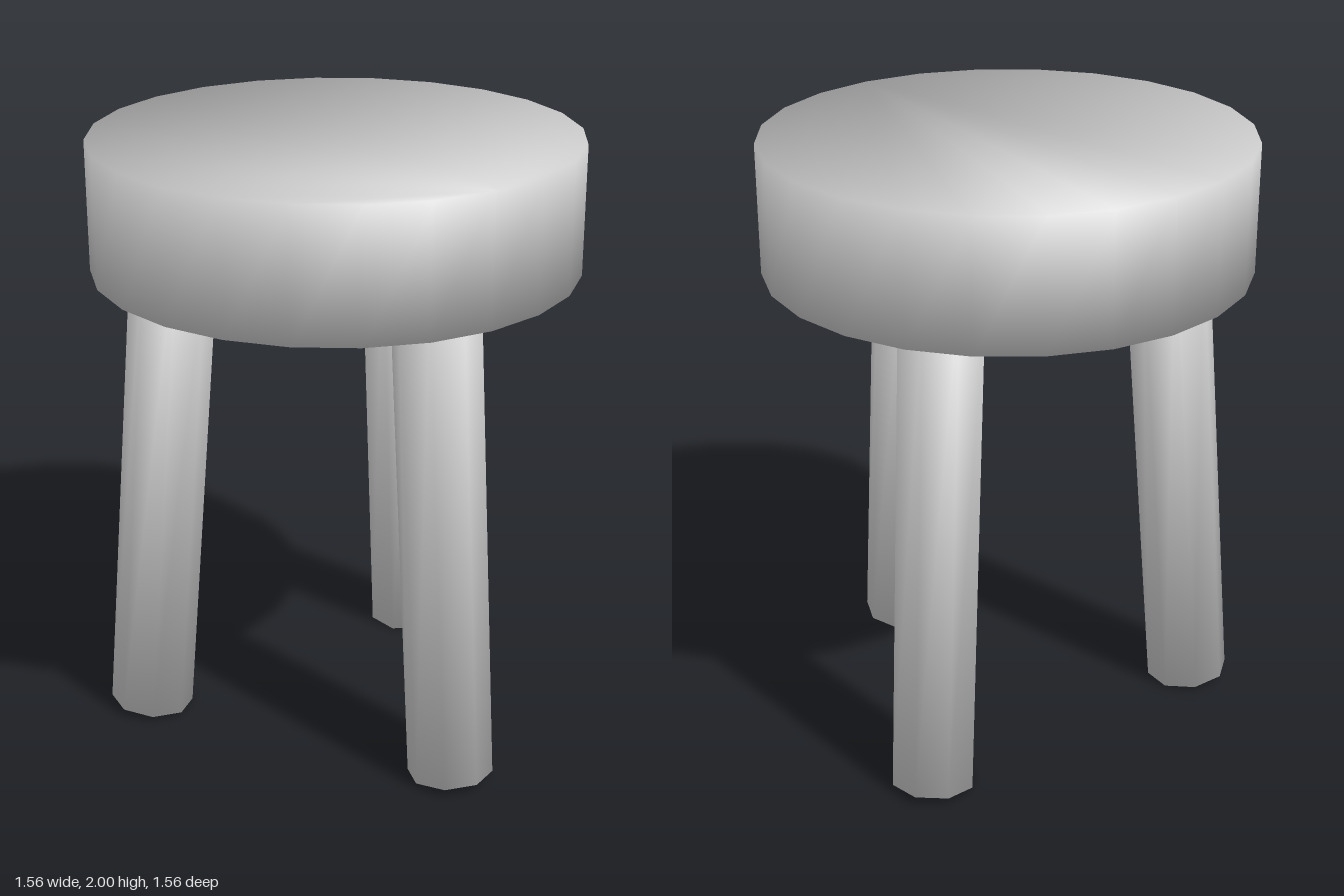
import * as THREE from 'three';

// Closed prism standing on y = 0, whose smooth normals run on over the rims into the caps.
function softPrism(radius, height, sides) {
  const positions = [], normals = [], index = [];
  // rim normals weighted by the corner angles of the sides and the cap
  const n = new THREE.Vector2(Math.cos(Math.PI / sides), 1 - 2 / sides).normalize();
  for (const end of [0, 1]) {
    for (let i = 0; i < sides; i++) {
      const a = (i / sides) * Math.PI * 2;
      const c = Math.cos(a), s = Math.sin(a);
      positions.push(radius * c, end * height, radius * s);
      normals.push(n.x * c, end ? n.y : -n.y, n.x * s);
    }
  }
  for (let i = 0; i < sides; i++) {
    const j = (i + 1) % sides;
    index.push(i, sides + i, j, j, sides + i, sides + j);
    // caps as fans without a centre point
    if (i > 0 && i < sides - 1) {
      index.push(0, i, j, sides, sides + j, sides + i);
    }
  }
  const geometry = new THREE.BufferGeometry();
  geometry.setAttribute('position', new THREE.Float32BufferAttribute(positions, 3));
  geometry.setAttribute('normal', new THREE.Float32BufferAttribute(normals, 3));
  geometry.setIndex(index);
  return geometry;
}

export function createModel() {
  const stool = new THREE.Group();
  stool.name = 'stool';

  const grey = new THREE.MeshStandardMaterial({ color: 0xcccccc });
  grey.name = 'light grey';

  // thick round seat
  const seat = new THREE.Mesh(softPrism(0.782, 0.42, 24), grey);
  seat.name = 'seat';
  seat.position.y = 1.58;
  stool.add(seat);

  // three splayed legs, stretched upwards after tilting
  const stretch = 1.2;
  const legGeometry = softPrism(0.139, 1.36, 8);
  ['leftLeg', 'backRightLeg', 'frontRightLeg'].forEach((name, i) => {
    const pivot = new THREE.Group();
    pivot.name = name;
    pivot.rotation.y = (i * Math.PI * 2) / 3;
    pivot.scale.y = stretch;
    const leg = new THREE.Mesh(legGeometry, grey);
    leg.name = name + 'Post';
    leg.position.set(0.642, 0.016 / stretch, 0);
    leg.rotation.z = THREE.MathUtils.degToRad(5.4);
    pivot.add(leg);
    stool.add(pivot);
  });

  return stool;
}
